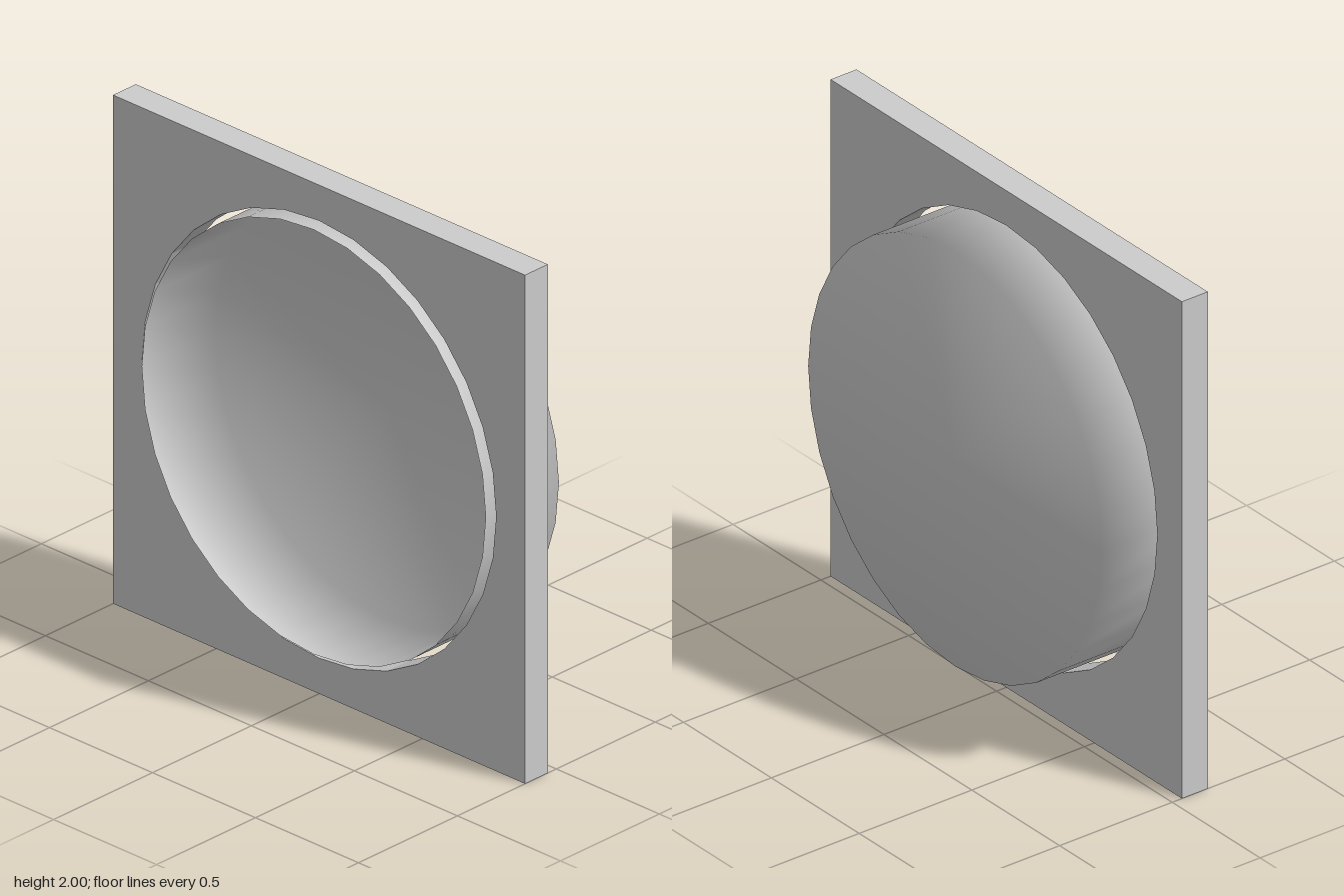
import * as THREE from 'three';

const SIDES = 32;

export function createModel() {
  const group = new THREE.Group();
  const grey = new THREE.MeshStandardMaterial({ color: 0xcccccc });
  const greyThin = new THREE.MeshStandardMaterial({ color: 0xcccccc, side: THREE.DoubleSide });

  // Square plate with a round opening (arcs get two divisions per curve segment)
  const square = new THREE.Shape();
  square.moveTo(-1, -1).lineTo(1, -1).lineTo(1, 1).lineTo(-1, 1).closePath();
  const opening = new THREE.Path();
  opening.absarc(0, 0, 0.86, 0, Math.PI * 2, true);
  square.holes.push(opening);
  const plate = new THREE.Mesh(
    new THREE.ExtrudeGeometry(square, { depth: 0.115, bevelEnabled: false, curveSegments: SIDES / 2 }),
    grey
  );
  plate.name = 'plate';
  plate.position.set(0, 1, 0.043);
  group.add(plate);

  // Thin round pan, open to the front, softly shaded across its back edge
  const profile = [[0, -0.185], [0.835, -0.185], [0.835, 0.185]].map(([r, y]) => new THREE.Vector2(r, y));
  const pan = new THREE.Mesh(new THREE.LatheGeometry(profile, SIDES).rotateX(Math.PI / 2), greyThin);
  pan.name = 'pan';
  pan.position.y = 1;
  group.add(pan);

  return group;
}
